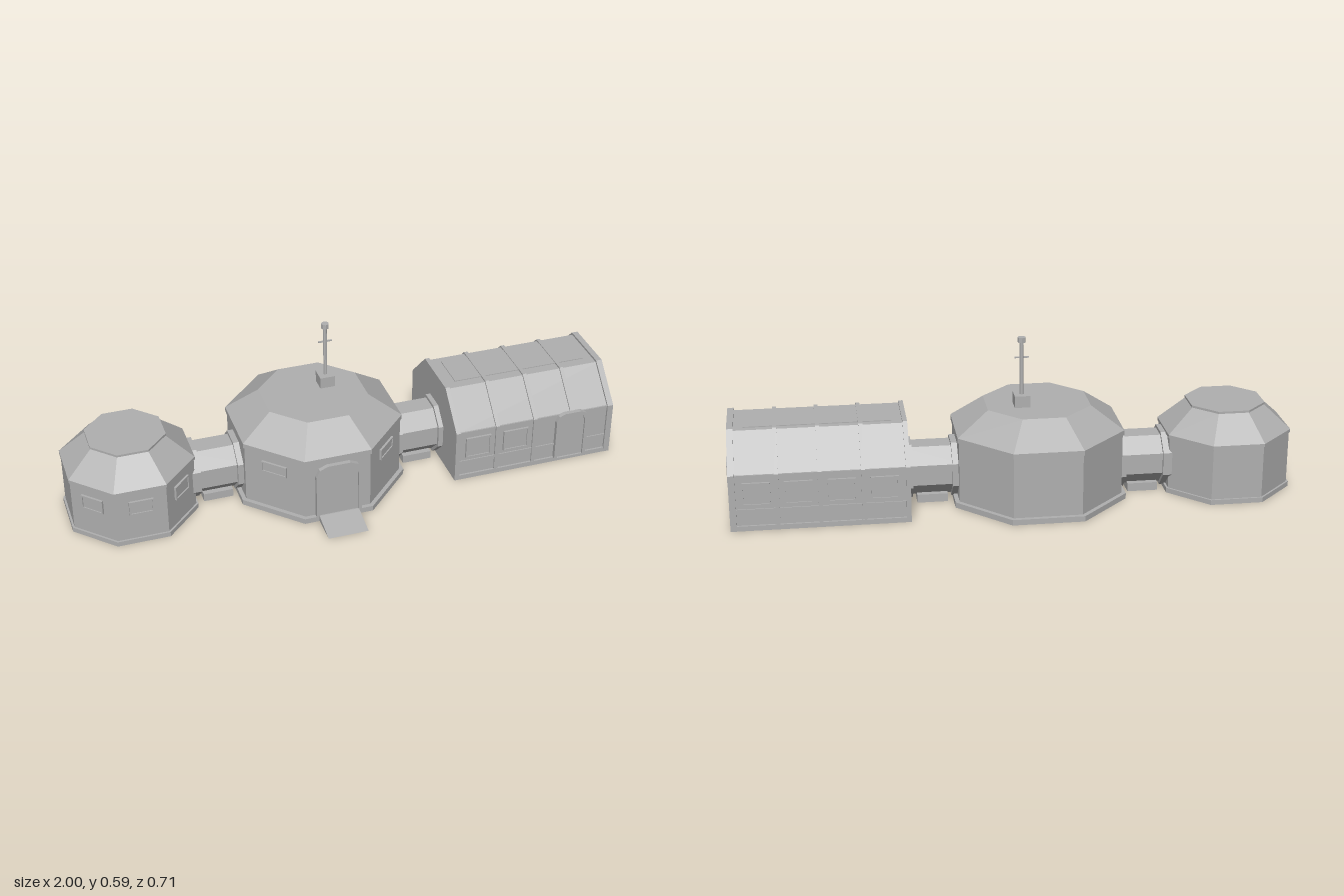
import * as THREE from 'three';

const CZ = -0.053; // shared centre line of all modules

export function createModel() {
  const root = new THREE.Group();
  root.name = 'habitatBase';
  const grey = new THREE.MeshStandardMaterial({ color: 0xb0b0b0 });
  grey.name = 'hull grey';

  const group = (name, x = 0, y = 0, z = 0, parent = root) => {
    const g = new THREE.Group();
    g.name = name;
    g.position.set(x, y, z);
    parent.add(g);
    return g;
  };
  // Adds a faceted mesh
  const add = (parent, name, geo, x = 0, y = 0, z = 0) => {
    const flat = geo.index ? geo.toNonIndexed() : geo;
    flat.computeVertexNormals();
    const m = new THREE.Mesh(flat, grey);
    m.name = name;
    m.position.set(x, y, z);
    parent.add(m);
    return m;
  };
  const box = (parent, name, w, h, d, x, y, z) => add(parent, name, new THREE.BoxGeometry(w, h, d), x, y, z);

  // Octagonal frustum measured across its flats, flat side to the front
  const octagon = (bottom, top, h) => {
    const k = Math.cos(Math.PI / 8);
    return new THREE.CylinderGeometry(top / k, bottom / k, h, 8).rotateY(Math.PI / 8);
  };
  const layer = (parent, name, bottom, top, y0, y1) =>
    add(parent, name, octagon(bottom, top, y1 - y0), 0, (y0 + y1) / 2, 0);

  // Raised frame with a thin pane inside, facing +z
  const windowPanel = (parent, w, h, x, y, z, angle = 0) => {
    const g = group('window', x, y, z, parent);
    g.rotation.y = angle;
    const t = 0.005;
    for (const s of [-1, 1]) {
      box(g, 'windowFrameRail', w, t, 0.008, 0, s * (h - t) / 2, 0.004);
      box(g, 'windowFramePost', t, h - 2 * t, 0.008, s * (w - t) / 2, 0, 0.004);
    }
    box(g, 'windowPane', w - 2 * t, h - 2 * t, 0.004, 0, 0, 0.002);
  };

  // Chamfered arch outline standing on y = 0
  const arch = (Kind, half, h, c) => {
    const pts = [[-half, 0], [half, 0], [half, h - c], [half - c * 0.3, h - c * 0.3],
      [half - c, h], [c - half, h], [c * 0.3 - half, h - c * 0.3], [-half, h - c]];
    return new Kind(pts.map(p => new THREE.Vector2(...p)));
  };
  const door = (parent, half, h, x, y, z, depth) => {
    const g = group('door', x, y, z, parent);
    const frame = arch(THREE.Shape, half, h, half * 0.5);
    const inner = arch(THREE.Path, half - 0.012, h - 0.012, half * 0.45);
    frame.holes.push(inner);
    add(g, 'doorFrame', new THREE.ExtrudeGeometry(frame, { depth, bevelEnabled: false }));
    const leaf = arch(THREE.Shape, half - 0.012, h - 0.012, half * 0.45);
    add(g, 'doorLeaf', new THREE.ExtrudeGeometry(leaf, { depth: depth * 0.6, bevelEnabled: false }));
  };

  // Main octagonal module
  const main = group('mainModule', -0.092, 0, CZ);
  layer(main, 'mainSkirt', 0.304, 0.304, 0, 0.02);
  layer(main, 'mainWall', 0.289, 0.289, 0.02, 0.24);
  layer(main, 'mainEave', 0.294, 0.294, 0.24, 0.258);
  layer(main, 'mainRoof', 0.294, 0.182, 0.258, 0.34);
  for (const s of [-1, 1]) {
    const d = 0.289 * Math.SQRT1_2;
    windowPanel(main, 0.098, 0.042, s * d, 0.188, d, s * Math.PI / 4);
  }
  door(main, 0.083, 0.208, 0, 0.02, 0.287, 0.018);
  // Entry ramp, a wedge running down to the ground
  const wedge = new THREE.Shape([[0.3, 0], [0.41, 0], [0.304, 0.022], [0.3, 0.022]].map(p => new THREE.Vector2(...p)));
  const rampGeo = new THREE.ExtrudeGeometry(wedge, { depth: 0.146, bevelEnabled: false });
  rampGeo.rotateY(-Math.PI / 2).translate(0.073, 0, 0);
  add(main, 'entryRamp', rampGeo);

  // Antenna mast on the main roof
  const mast = group('antenna', -0.033, 0.34, -0.092);
  box(mast, 'antennaBase', 0.054, 0.043, 0.056, 0, 0.0205, 0);
  add(mast, 'antennaPole', new THREE.CylinderGeometry(0.007, 0.007, 0.2, 8), 0, 0.135, 0);
  add(mast, 'antennaCap', new THREE.CylinderGeometry(0.014, 0.014, 0.018, 8), 0, 0.241, 0);
  box(mast, 'antennaCrossbar', 0.05, 0.005, 0.005, 0, 0.177, 0);

  // Small octagonal module
  const small = group('smallModule', -0.775, 0, CZ);
  layer(small, 'smallSkirt', 0.225, 0.225, 0, 0.018);
  layer(small, 'smallWall', 0.218, 0.218, 0.018, 0.208);
  layer(small, 'smallEave', 0.222, 0.222, 0.208, 0.22);
  layer(small, 'smallRoof', 0.222, 0.128, 0.22, 0.308);
  layer(small, 'smallRoofCap', 0.133, 0.133, 0.306, 0.314);
  for (const a of [-1, 0, 1]) {
    const t = a * Math.PI / 4;
    windowPanel(small, 0.086, 0.054, Math.sin(t) * 0.218, 0.148, Math.cos(t) * 0.218, t);
  }

  // Connecting tunnels with end collars and a foot
  const tube = (parent, name, r, x0, x1) => {
    const geo = octagon(r, r, x1 - x0).rotateZ(Math.PI / 2);
    add(parent, name, geo, (x0 + x1) / 2, 0.112, 0);
  };
  const tunnel = (name, x0, x1) => {
    const g = group(name, 0, 0, CZ);
    tube(g, 'tunnelTube', 0.089, x0 - 0.015, x1 + 0.015);
    tube(g, 'tunnelCollar', 0.1, x0 - 0.015, x0 + 0.02);
    tube(g, 'tunnelCollar', 0.1, x1 - 0.02, x1 + 0.015);
    box(g, 'tunnelFoot', 0.108, 0.03, 0.13, (x0 + x1) / 2, 0.015, 0);
  };
  tunnel('leftwardTunnel', -0.555, -0.382);
  tunnel('longModuleTunnel', 0.198, 0.376);

  // Long module: gambrel section swept along x
  const long = group('longModule', 0, 0, CZ);
  const section = (name, x0, x1, grow) => {
    const w = 0.22 + grow, t = 0.102 + grow * 0.4, h = 0.319 + grow;
    const s = new THREE.Shape([[-w, 0], [w, 0], [w, 0.2 + grow * 0.4], [t, h], [-t, h], [-w, 0.2 + grow * 0.4]]
      .map(p => new THREE.Vector2(...p)));
    const geo = new THREE.ExtrudeGeometry(s, { depth: x1 - x0, bevelEnabled: false });
    add(long, name, geo.rotateY(Math.PI / 2).translate(x0, 0, 0));
  };
  section('longHull', 0.378, 0.985, 0);
  section('endFrame', 0.374, 0.39, 0.007);
  section('endFrame', 0.968, 0.99, 0.008);
  const ribs = [0.535, 0.682, 0.828];
  for (const x of ribs) section('rib', x - 0.007, x + 0.007, 0.006);
  box(long, 'roofPanel', 0.508, 0.003, 0.143, 0.68, 0.3205, -0.006);

  // Side rails, windows and the side door
  const bays = [0.462, 0.608, 0.755, 0.898];
  for (const s of [-1, 1]) {
    box(long, 'baseRail', 0.6, 0.018, 0.008, 0.682, 0.009, s * 0.223);
    box(long, 'sillRail', 0.59, 0.008, 0.005, 0.682, 0.074, s * 0.2215);
    box(long, 'eaveRail', 0.59, 0.008, 0.006, 0.682, 0.198, s * 0.2205);
    bays.slice(0, s > 0 ? 2 : 4).forEach(x =>
      windowPanel(long, 0.096, 0.082, x, 0.133, s * 0.22, s > 0 ? 0 : Math.PI));
  }
  door(long, 0.062, 0.19, 0.826, 0.018, 0.219, 0.017);
  const end = group('endWindow', 0.99, 0.158, 0.0, long);
  windowPanel(end, 0.156, 0.078, 0, 0, 0, Math.PI / 2);

  return root;
}
